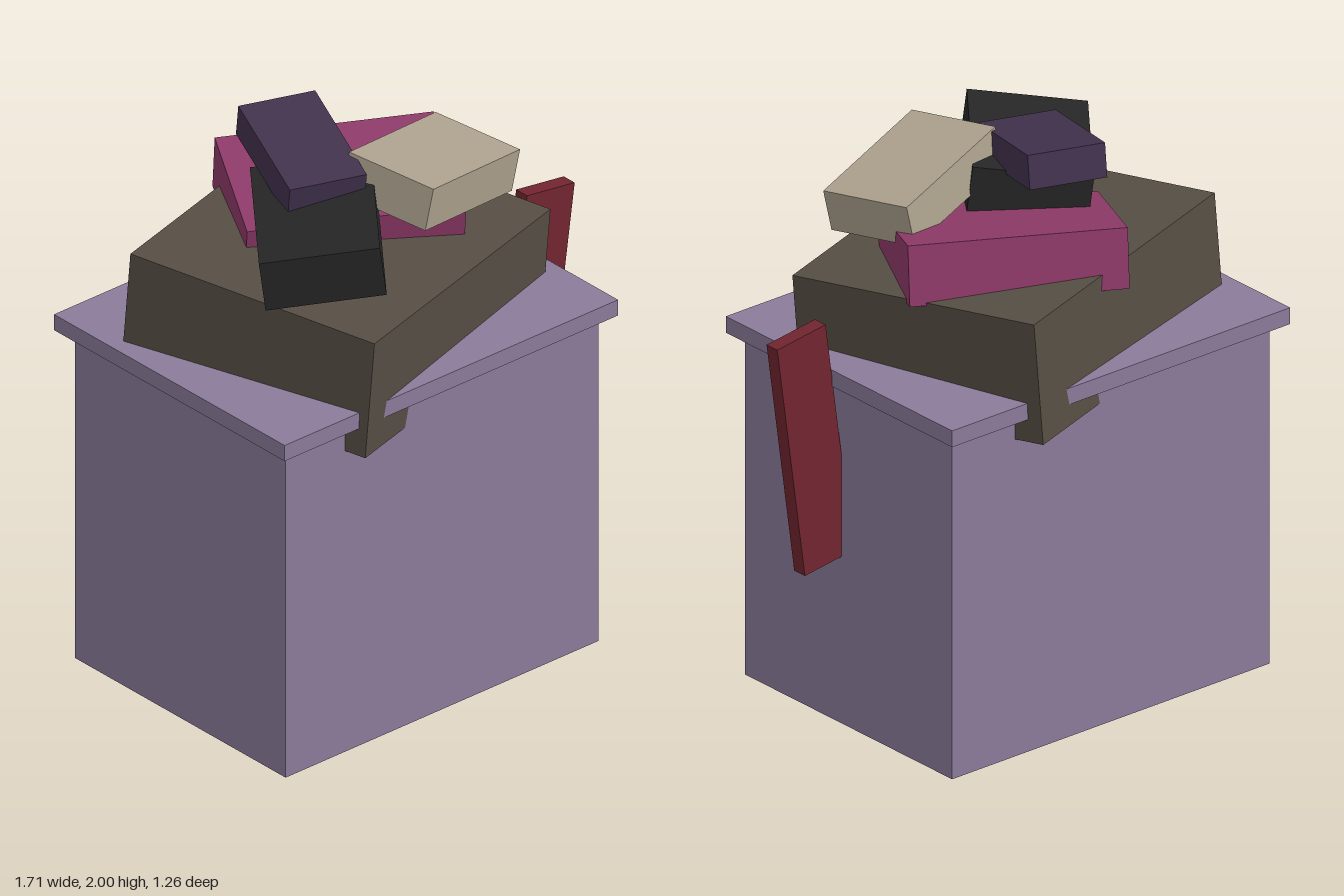
import * as THREE from 'three';

const V = (p) => new THREE.Vector3(...p);

function box(name, size, position, color) {
  const material = new THREE.MeshStandardMaterial({ color, flatShading: true });
  const mesh = new THREE.Mesh(new THREE.BoxGeometry(...size), material);
  mesh.name = name;
  mesh.position.set(...position);
  return mesh;
}

// Tilted box placed by its top face: back left, back right and front left corners, plus its height
function tiltedBox(name, backLeft, backRight, frontLeft, height, color) {
  const origin = V(backLeft);
  const across = V(backRight).sub(origin);
  const forward = V(frontLeft).sub(origin);
  const center = origin.clone().addScaledVector(across, 0.5).addScaledVector(forward, 0.5);
  const xAxis = across.clone().normalize();
  const yAxis = forward.clone().cross(across).normalize();
  const zAxis = xAxis.clone().cross(yAxis);
  center.addScaledVector(yAxis, -height / 2);
  const mesh = box(name, [across.length(), height, forward.length()], center.toArray(), color);
  mesh.quaternion.setFromRotationMatrix(new THREE.Matrix4().makeBasis(xAxis, yAxis, zAxis));
  return mesh;
}

export function createModel() {
  const group = new THREE.Group();
  group.name = 'cabinetWithBoxes';

  // Cabinet and its overhanging top
  group.add(box('cabinetBody', [1.38, 1.25, 1.06], [-0.12, 0.625, 0], 0x8b7b9b));
  group.add(box('cabinetTop', [1.47, 0.06, 1.16], [-0.123, 1.28, 0], 0x8b7b9b));

  // Pile of tilted boxes, bottom to top
  group.add(tiltedBox('largeBox',
    [-0.795, 1.645, -0.275], [0.275, 1.61, -0.61], [-0.495, 1.585, 0.625], 0.44, 0x564e44));
  group.add(tiltedBox('pinkBox',
    [-0.215, 1.775, -0.505], [0.44, 1.78, -0.15], [-0.445, 1.685, -0.08], 0.21, 0x8e3a68));
  group.add(tiltedBox('blackBox',
    [-0.70, 1.81, 0.27], [-0.31, 1.82, -0.22], [-0.385, 1.86, 0.52], 0.182, 0x262626));
  group.add(tiltedBox('purpleBox',
    [-0.27, 2.0, -0.315], [-0.01, 2.0, -0.225], [-0.43, 1.92, 0.11], 0.12, 0x42324e));
  group.add(tiltedBox('creamBox',
    [-0.14, 1.95, 0.09], [0.36, 1.855, -0.045], [-0.067, 1.92, 0.422], 0.153, 0xada28e));

  // Board leaning out of the side
  const board = box('sideBoard', [0.212, 0.874, 0.055], [0.685, 1.038, 0.063], 0x722530);
  board.rotation.z = -0.138;
  group.add(board);

  // The black box has its corners listed in the opposite turn, so its height runs downward either way
  const black = group.getObjectByName('blackBox');
  const up = new THREE.Vector3(0, 1, 0).applyQuaternion(black.quaternion);
  if (up.y < 0) black.position.addScaledVector(up, 0.182);

  return group;
}
